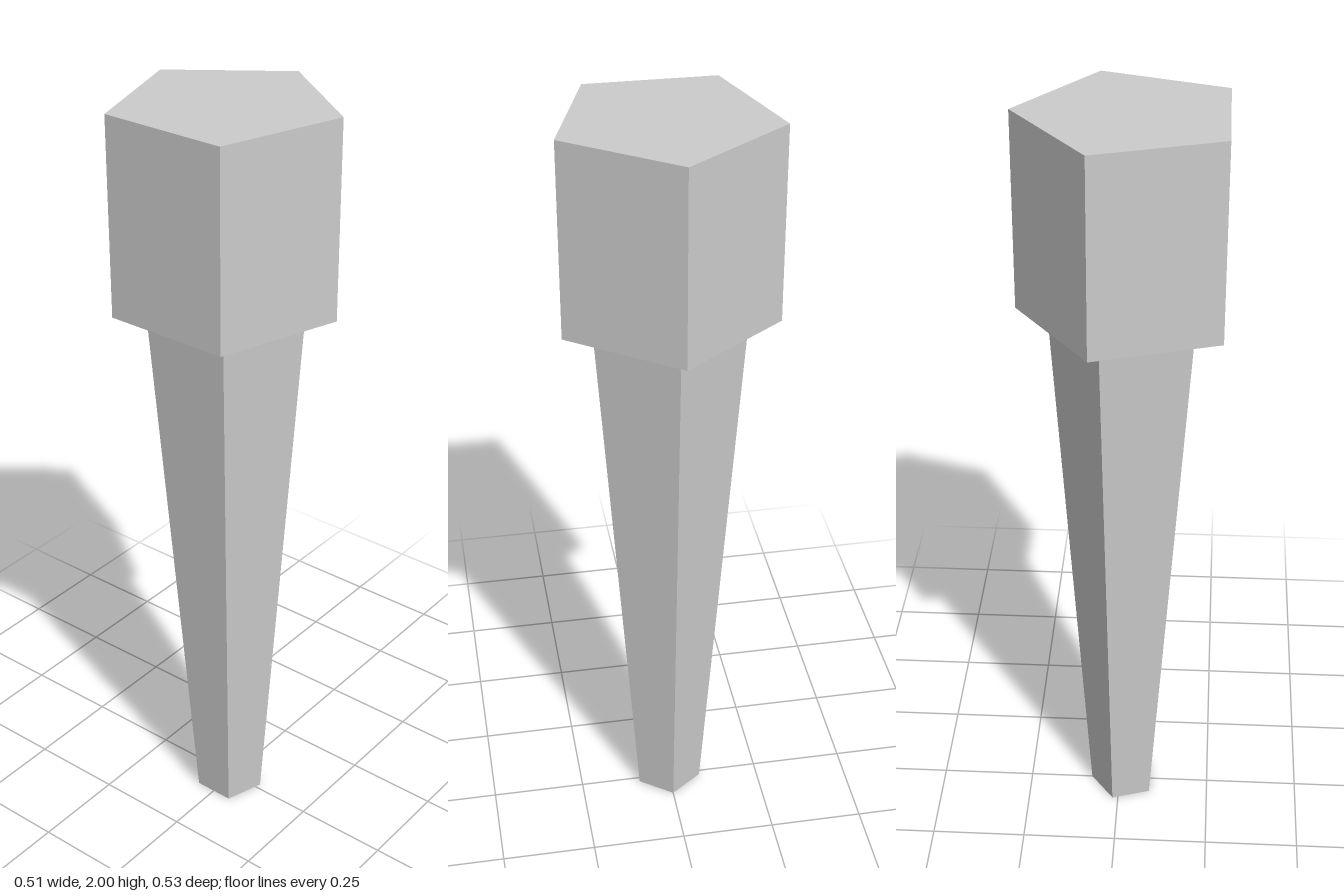
import * as THREE from 'three';

const material = new THREE.MeshStandardMaterial({ color: 0xcccccc, flatShading: true });

// Five-sided prism with one corner towards +x; its axis may lean from xBottom to xTop
function pentagonPrism(name, rTop, rBottom, yBottom, yTop, xTop, xBottom) {
  const height = yTop - yBottom;
  const geometry = new THREE.CylinderGeometry(rTop, rBottom, height, 5, 1, false, Math.PI / 2);
  const pos = geometry.attributes.position;
  for (let i = 0; i < pos.count; i++) {
    pos.setX(i, pos.getX(i) + (pos.getY(i) > 0 ? xTop : xBottom));
  }
  geometry.translate(0, yBottom + height / 2, 0);
  geometry.computeVertexNormals();
  const mesh = new THREE.Mesh(geometry, material);
  mesh.name = name;
  return mesh;
}

export function createModel() {
  const model = new THREE.Group();
  model.name = 'peg';
  // Straight head block on top
  model.add(pentagonPrism('head', 0.28, 0.28, 1.497, 2, -0.027, -0.027));
  // Shaft narrowing to a blunt tip
  model.add(pentagonPrism('shaft', 0.2, 0.091, 0, 1.497, -0.0235, -0.013));
  return model;
}
